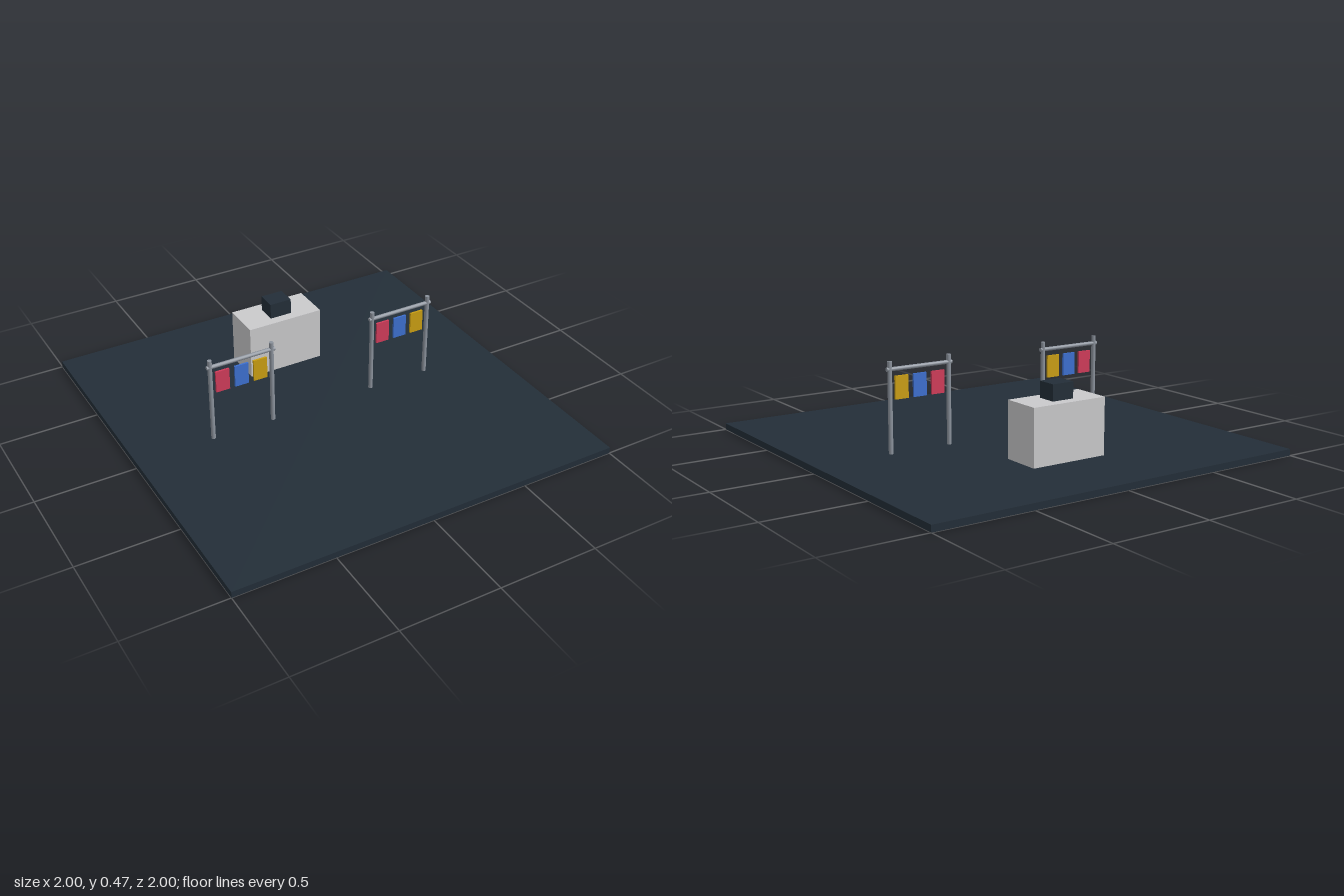
import * as THREE from 'three';

const material = (name, color) => {
  const m = new THREE.MeshStandardMaterial({ color });
  m.name = name;
  return m;
};

export function createModel() {
  const model = new THREE.Group();
  model.name = 'shopFloor';

  const slate = material('dark slate', 0x232e38);
  const pale = material('pale grey', 0xcacacc);
  const steel = material('steel grey', 0x8b929c);
  const cloth = [
    material('red', 0xd13c5a),
    material('blue', 0x3d70d0),
    material('gold', 0xcb9f12),
  ];

  const add = (parent, name, geometry, mat, x, y, z) => {
    const mesh = new THREE.Mesh(geometry, mat);
    mesh.name = name;
    mesh.position.set(x, y, z);
    parent.add(mesh);
    return mesh;
  };
  const box = (w, h, d) => new THREE.BoxGeometry(w, h, d);

  // Floor slab, counter and till
  const floorTop = 0.032;
  add(model, 'floor', box(2, floorTop, 2), slate, 0, floorTop / 2, 0);
  add(model, 'counter', box(0.404, 0.28, 0.202), pale, 0, floorTop + 0.14, -0.483);
  add(model, 'till', box(0.116, 0.08, 0.1), slate, 0, 0.352, -0.481);

  // Two clothes racks, each with three hanging garments
  const postHeight = 0.473 - floorTop;
  const postGeometry = new THREE.CylinderGeometry(0.011, 0.011, postHeight, 12);
  const railGeometry = new THREE.CylinderGeometry(0.01, 0.01, 0.356, 12);
  const garmentGeometry = box(0.071, 0.112, 0.01);
  for (const side of [-1, 1]) {
    const rack = new THREE.Group();
    rack.name = side > 0 ? 'leftRack' : 'rightRack';
    rack.position.x = side * 0.44;
    model.add(rack);
    for (const x of [-0.161, 0.161]) {
      add(rack, 'post', postGeometry, steel, x, floorTop + postHeight / 2, 0);
    }
    add(rack, 'rail', railGeometry, steel, 0, 0.435, 0).rotation.z = Math.PI / 2;
    cloth.forEach((mat, i) => {
      add(rack, mat.name + 'Garment', garmentGeometry, mat, (i - 1) * 0.099, 0.345, 0);
    });
  }

  return model;
}
